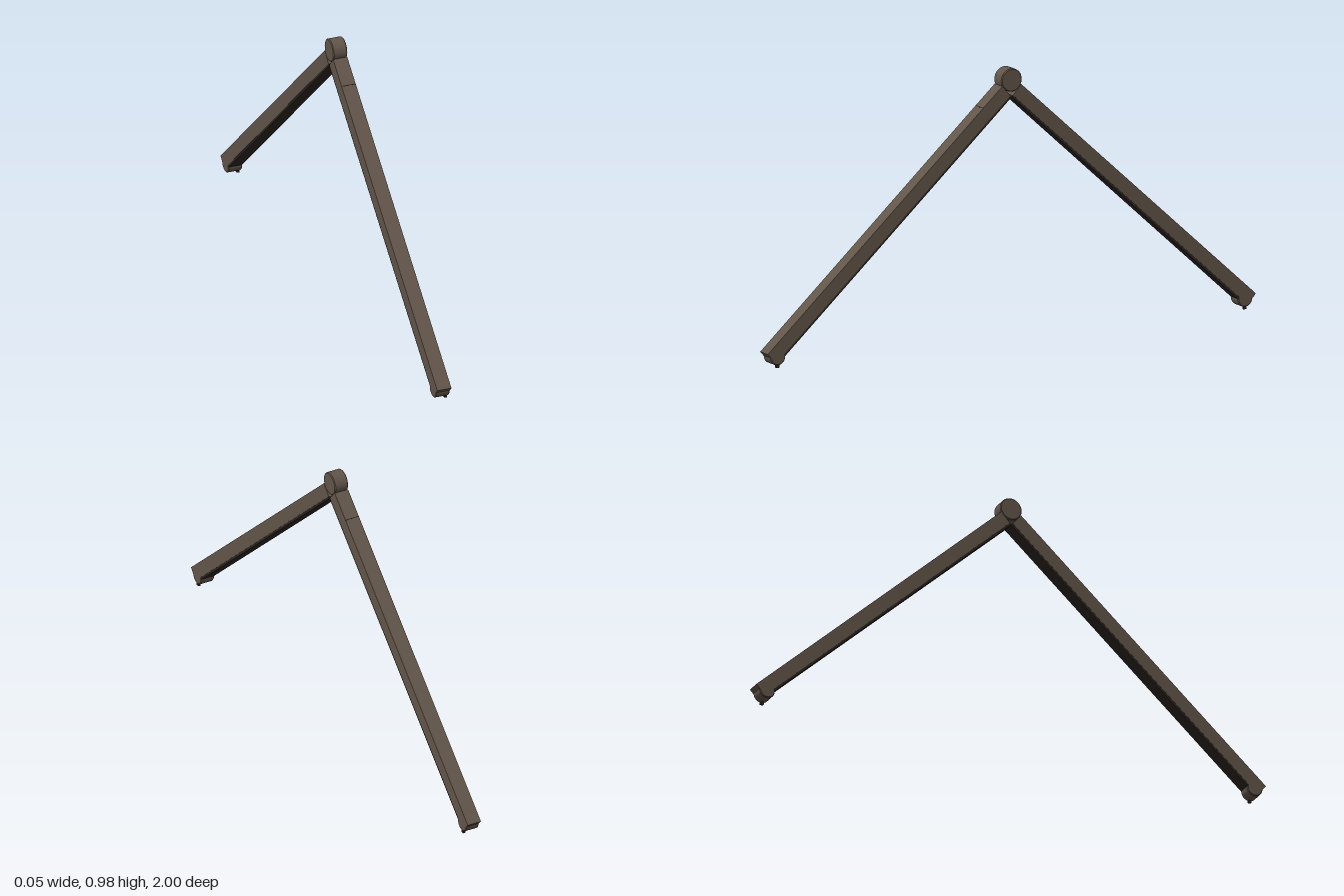
import * as THREE from 'three';

const WIDTH = 0.054;
const wood = new THREE.MeshStandardMaterial({ color: 0x62554a });
const dark = new THREE.MeshStandardMaterial({ color: 0x2c2520 });

function add(parent, name, geometry, material, x, y, z) {
  const mesh = new THREE.Mesh(geometry, material);
  mesh.name = name;
  mesh.position.set(x, y, z);
  parent.add(mesh);
  return mesh;
}

// Short round bar lying along x, with a slight bevel on each end
function roundBar(radius) {
  const h = WIDTH / 2, b = 0.003;
  const profile = [
    [0, -h], [radius - b, -h], [radius - b, -h], [radius, -h + b], [radius, -h + b],
    [radius, h - b], [radius, h - b], [radius - b, h], [radius - b, h], [0, h],
  ].map(([r, y]) => new THREE.Vector2(r, y));
  return new THREE.LatheGeometry(profile, 32).rotateZ(Math.PI / 2);
}

export function createModel() {
  const model = new THREE.Group();
  model.name = 'gableFrame';

  // Round ridge bar at the apex
  add(model, 'ridgeBar', roundBar(0.042), wood, 0, 0.938, 0);

  const slope = Math.atan2(0.866, 0.961);
  const length = 1.294;
  for (const s of [1, -1]) {
    const side = s > 0 ? 'front' : 'back';

    // Sloping square beam, with a thin strip along its underside
    const rafter = new THREE.Group();
    rafter.name = side + 'Rafter';
    rafter.position.set(0, 0.465, s * 0.5);
    rafter.rotation.x = s * slope;
    add(rafter, 'beam', new THREE.BoxGeometry(WIDTH, 0.05, length), wood, 0, 0.004, 0);
    add(rafter, 'undersideStrip', new THREE.BoxGeometry(WIDTH - 0.002, 0.008, length), dark, 0, -0.025, 0);

    // Fine joint line near the top of the beam
    add(rafter, 'jointSeam', new THREE.BoxGeometry(WIDTH - 0.001, 0.001, 0.003), dark, 0, 0.029, -s * 0.542);
    model.add(rafter);

    // Round foot bar and the small peg under it
    add(model, side + 'FootBar', roundBar(0.03), wood, 0, 0.039, s * 0.957);
    add(model, side + 'FootPeg', new THREE.BoxGeometry(0.009, 0.016, 0.012), dark, 0.02, 0.008, s * 0.957);
  }
  return model;
}
